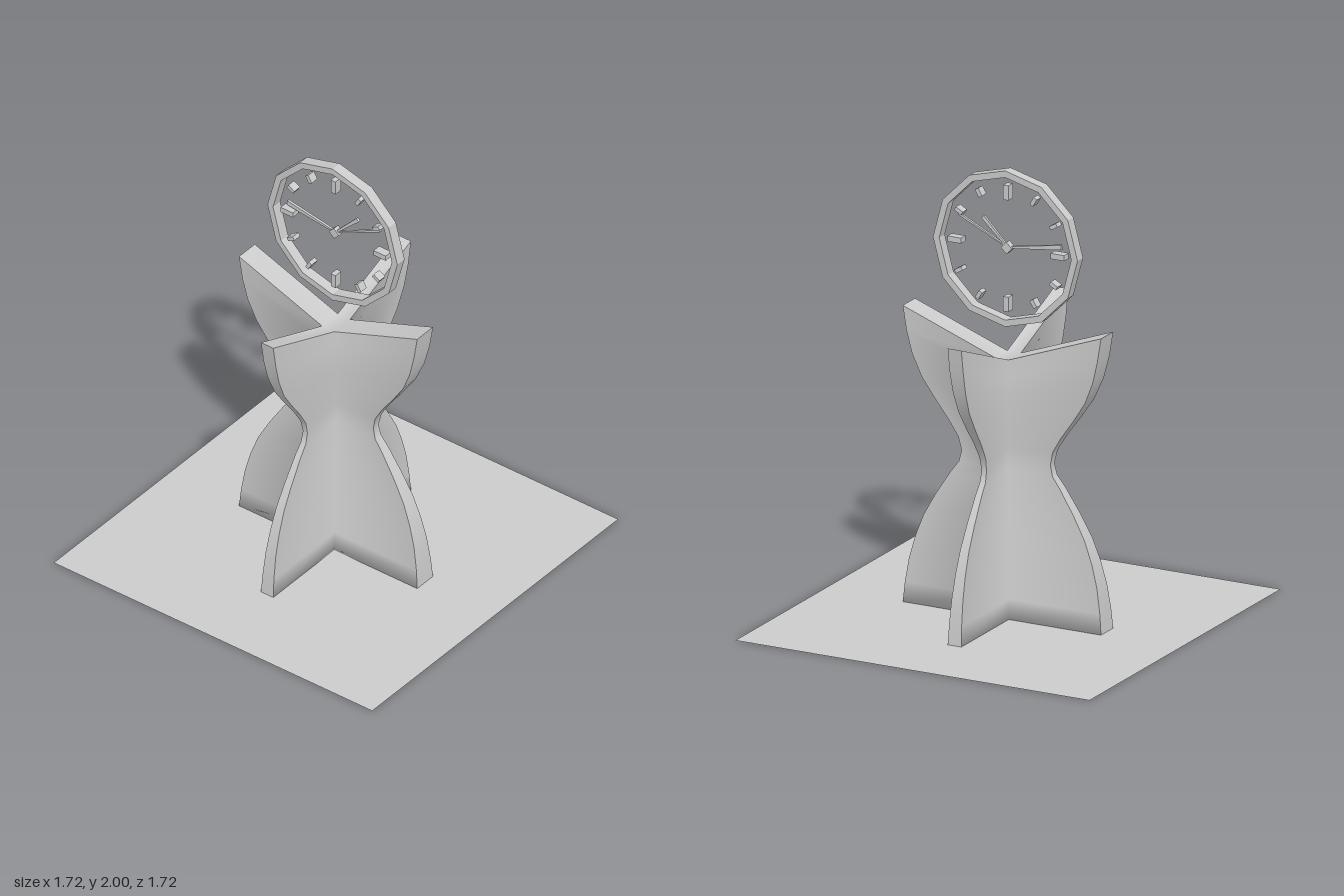
import * as THREE from 'three';

const mat = new THREE.MeshStandardMaterial({ color: 0xcccccc, side: THREE.DoubleSide });
const flat = new THREE.MeshStandardMaterial({ color: 0xcccccc, flatShading: true });

function add(parent, name, geometry, material = flat) {
  const mesh = new THREE.Mesh(geometry, material);
  mesh.name = name;
  parent.add(mesh);
  return mesh;
}

// Regular polygon outline with its first corner on +x
function polygon(radius, sides) {
  return Array.from({ length: sides }, (_, i) => {
    const a = (i / sides) * Math.PI * 2;
    return new THREE.Vector2(radius * Math.cos(a), radius * Math.sin(a));
  });
}

function extrude(shape, depth) {
  return new THREE.ExtrudeGeometry(shape, { depth, bevelEnabled: false }).translate(0, 0, -depth / 2);
}

// Cross-shaped pedestal: four fins lofted through [reach, height] rows
function pedestalGeometry() {
  const rows = [
    [0.48, 0], [0.472, 0.09], [0.455, 0.2], [0.428, 0.3], [0.39, 0.4], [0.335, 0.5], [0.265, 0.61],
    [0.227, 0.66], [0.215, 0.71], [0.228, 0.77], [0.27, 0.84], [0.335, 0.93], [0.395, 1.02],
    [0.437, 1.12], [0.462, 1.22], [0.48, 1.33],
  ];
  const waist = 0.71, top = 1.33, hollow = 1.165;
  const positions = [], index = [];
  const quad = (a, b, c, d) => index.push(a, b, c, a, c, d);

  for (const [reach, y] of rows) {
    const t = y < waist ? 1 - y / waist : Math.min(1, (y - waist) / 0.46);
    const hz = 0.018 + 0.037 * t; // half thickness of the x fins
    const hx = 0.012 + 0.021 * t; // half thickness of the z fins
    const inner = y < waist ? y : waist + (y - waist) * (hollow - waist) / (top - waist);
    // Counter-clockwise seen from above: tip, tip, inner corner for each fin
    const ring = [
      [reach, y, hz], [reach, y, -hz], [hx, inner, -hz],
      [hx, y, -reach], [-hx, y, -reach], [-hx, inner, -hz],
      [-reach, y, -hz], [-reach, y, hz], [-hx, inner, hz],
      [-hx, y, reach], [hx, y, reach], [hx, inner, hz],
    ];
    ring.forEach((p) => positions.push(...p));
    // Separate corners for the narrow end faces keep their edges sharp
    [0, 1, 3, 4, 6, 7, 9, 10].forEach((k) => positions.push(...ring[k]));
  }

  const stride = 20;
  for (let j = 0; j < rows.length - 1; j++) {
    const lo = j * stride, hi = lo + stride;
    for (let k = 0; k < 12; k++) {
      const n = (k + 1) % 12;
      if (k % 3 !== 0) quad(lo + k, lo + n, hi + n, hi + k);
    }
    for (let k = 12; k < 20; k += 2) quad(lo + k, lo + k + 1, hi + k + 1, hi + k);
  }

  // Caps: a centre square and one strip per fin; the top gets its own corners
  const cap = (start, up) => {
    const face = (a, b, c, d) => (up ? quad(a, b, c, d) : quad(d, c, b, a));
    face(start + 2, start + 5, start + 8, start + 11);
    for (let k = 0; k < 12; k += 3) face(start + k, start + k + 1, start + k + 2, start + (k + 11) % 12);
  };
  cap(0, false);
  const last = (rows.length - 1) * stride;
  const topStart = positions.length / 3;
  positions.push(...positions.slice(last * 3, (last + 12) * 3));
  cap(topStart, true);

  const g = new THREE.BufferGeometry();
  g.setAttribute('position', new THREE.Float32BufferAttribute(positions, 3));
  g.setIndex(index);
  g.computeVertexNormals();
  return g;
}

// Tapered hand pointing along +x, wider at one end
function handGeometry(length, rootWidth, tipWidth) {
  const r = rootWidth / 2, t = tipWidth / 2;
  return extrude(new THREE.Shape([
    new THREE.Vector2(0, -r), new THREE.Vector2(length, -t),
    new THREE.Vector2(length, t), new THREE.Vector2(0, r),
  ]), 0.012);
}

export function createModel() {
  const model = new THREE.Group();
  model.name = 'clockSculpture';

  add(model, 'groundPlate', new THREE.PlaneGeometry(1.715, 1.715).rotateX(-Math.PI / 2), mat);
  add(model, 'pedestal', pedestalGeometry(), mat);

  const clock = new THREE.Group();
  clock.name = 'clock';
  clock.position.y = 1.65;
  model.add(clock);

  // Open twelve-sided rim
  const rim = new THREE.Shape(polygon(0.35, 12));
  rim.holes.push(new THREE.Path(polygon(0.32, 12)));
  add(clock, 'rim', extrude(rim, 0.05));

  // Hour marks, larger at the quarters
  for (let i = 0; i < 12; i++) {
    const quarter = i % 3 === 0;
    const a = (i * Math.PI) / 6;
    const radius = quarter ? 0.25 : 0.265;
    const size = quarter ? [0.066, 0.025, 0.04] : [0.038, 0.018, 0.04];
    const mark = add(clock, 'hourMark', new THREE.BoxGeometry(...size));
    mark.position.set(radius * Math.cos(a), radius * Math.sin(a), 0);
    mark.rotation.z = a;
  }

  // Hands and square hub
  const hands = [
    ['hourHand', 0.12, 0.12, 0.008, 0.018],
    ['secondHand', 0.238, 0.116, 0.005, 0.011],
    ['minuteHand', -0.26, 0.04, 0.008, 0.022],
  ];
  for (const [name, x, y, root, tip] of hands) {
    add(clock, name, handGeometry(Math.hypot(x, y), root, tip)).rotation.z = Math.atan2(y, x);
  }
  add(clock, 'hub', extrude(new THREE.Shape(polygon(0.027, 4)), 0.03));

  return model;
}
